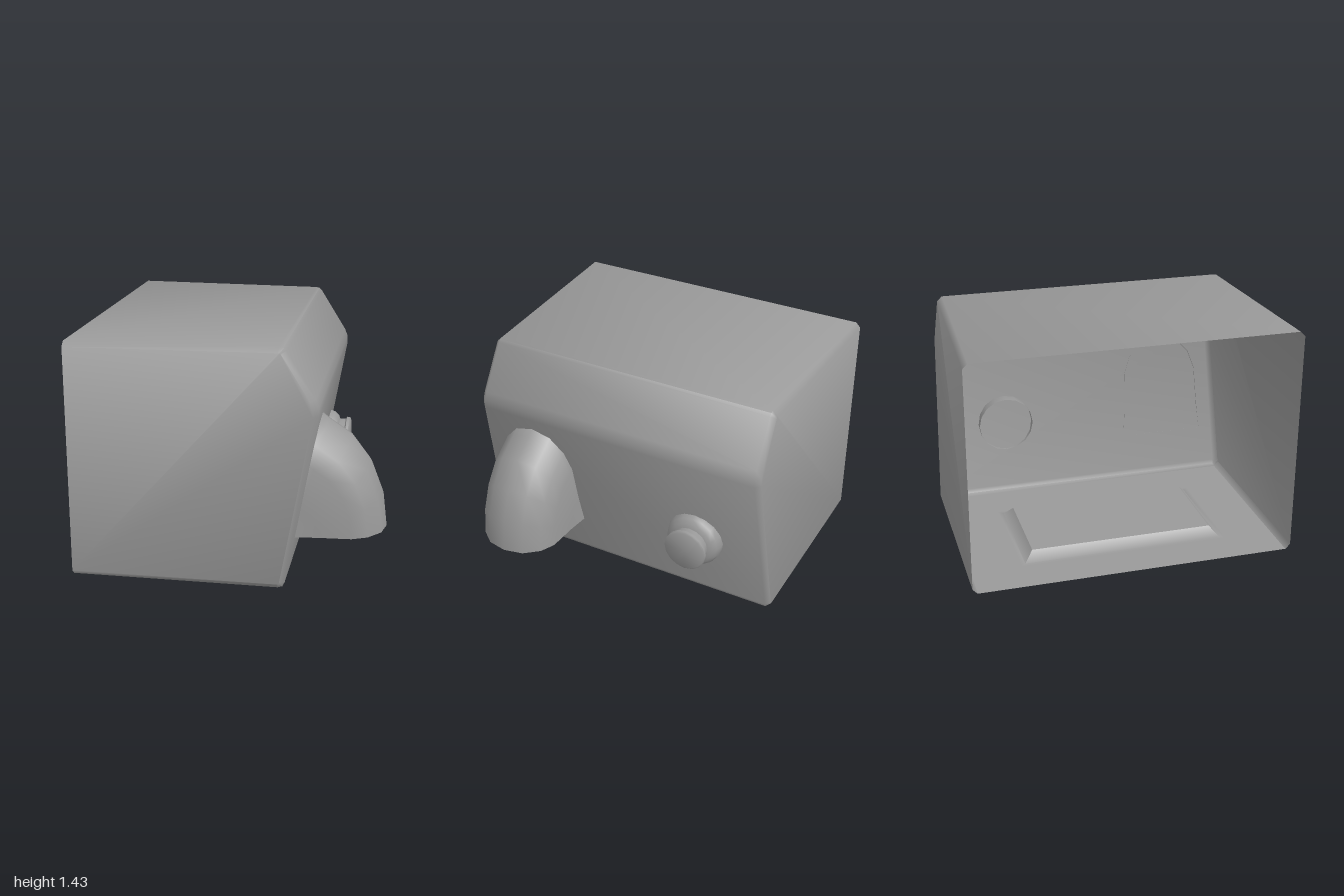
import * as THREE from 'three';
import { mergeGeometries, toCreasedNormals } from 'three/addons/utils/BufferGeometryUtils.js';

const material = new THREE.MeshStandardMaterial({ color: 0x999999, side: THREE.DoubleSide });
const BACK = -0.92, TOP = 1.43, BEVEL = 0.03;

// Half width of the housing: the sides lean in towards the upper front
const halfWidth = (x, y) => 1 - 0.05 * ((x - BACK) / 1.25) * (y / TOP);
// Sloping front wall below the brow
const wallX = (y) => 0.35 + 0.179 * y;

function add(parent, name, geometry, crease = 0.9) {
  const mesh = new THREE.Mesh(toCreasedNormals(geometry, crease), material);
  mesh.name = name;
  parent.add(mesh);
}

// Surface through rows of points; skip(i, j) leaves a quad open
function loft(rows, skip = () => false) {
  const n = rows[0].length, index = [];
  for (let i = 0; i < rows.length - 1; i++) {
    for (let j = 0; j < n - 1; j++) {
      if (skip(i, j)) continue;
      const a = i * n + j, b = a + n;
      index.push(a, b, b + 1, a, b + 1, a + 1);
    }
  }
  const g = new THREE.BufferGeometry();
  g.setAttribute('position', new THREE.Float32BufferAttribute(rows.flat(2), 3));
  g.setIndex(index);
  g.computeVertexNormals();
  return g;
}

// Polyline with each inner corner eased by a small curve
function roundCorners(corners, radii) {
  const out = [corners[0]];
  for (let i = 1; i < corners.length - 1; i++) {
    const c = corners[i];
    const toward = (p) => c.clone().add(p.clone().sub(c).setLength(radii[i - 1]));
    const curve = new THREE.QuadraticBezierCurve(toward(corners[i - 1]), c, toward(corners[i + 1]));
    out.push(...curve.getPoints(2));
  }
  out.push(corners[corners.length - 1]);
  return out;
}

function buildHousing() {
  const group = new THREE.Group();
  group.name = 'housing';
  const v = (x, y) => new THREE.Vector2(x, y);
  const profile = roundCorners(
    [v(BACK, 0), v(0.35, 0), v(0.546, 1.09), v(0.335, TOP), v(BACK, TOP)],
    [0.035, 0.055, 0.025]);

  // Inward normals, averaged at the bends
  const inward = profile.map((p, i) => {
    const t = v(0, 0);
    if (i > 0) t.add(p.clone().sub(profile[i - 1]).normalize());
    if (i < profile.length - 1) t.add(profile[i + 1].clone().sub(p).normalize());
    t.normalize();
    return v(-t.y, t.x);
  });
  const outline = profile.map((p, i) => p.clone().addScaledVector(inward[i], BEVEL));

  // Shell wrapped over floor edges, front, brow and roof, with chamfered sides
  const rows = profile.map((p, i) => {
    const q = outline[i];
    const zIn = halfWidth(p.x, p.y) - BEVEL, zOut = halfWidth(q.x, q.y);
    return [[q.x, q.y, -zOut], [p.x, p.y, -zIn], [p.x, p.y, zIn], [q.x, q.y, zOut]];
  });
  const shell = [loft(rows, (i, j) => i === 0 && j === 1)];

  // Side walls, shaded together with the chamfers
  for (const side of [1, -1]) {
    const g = new THREE.ShapeGeometry(new THREE.Shape(outline));
    const pos = g.attributes.position;
    for (let i = 0; i < pos.count; i++) pos.setZ(i, side * halfWidth(pos.getX(i), pos.getY(i)));
    if (side < 0) g.index.array.reverse();
    g.deleteAttribute('uv');
    shell.push(g);
  }
  add(group, 'shell', mergeGeometries(shell));

  // Floor with a soft-edged rim rising to a raised panel
  const ring = (x0, x1, z, y) =>
    [[x0, y, -z], [x1, y, -z], [x1, y, z], [x0, y, z], [x0, y, -z]];
  add(group, 'floor', loft([
    ring(-0.61, -0.04, 0.575, 0.06),
    ring(-0.66, 0.01, 0.63, 0),
    ring(-0.69, 0.04, 0.66, 0),
    ring(BACK, profile[1].x, 1 - BEVEL, 0),
  ]));
  const plate = new THREE.PlaneGeometry(0.57, 1.15).rotateX(Math.PI / 2);
  add(group, 'floorPanel', plate.translate(-0.325, 0.06, 0));
  return group;
}

function buildHood() {
  const group = new THREE.Group();
  group.name = 'outletHood';
  const X = 0.4, Y = 0.28, Z = 0.592, R = 0.195, HOLE_X = X + 0.31, DEPTH = 0.065;
  const half = [[0, 0.28], [0.13, 0.265], [0.33, 0.254], [0.42, 0.212], [0.495, 0.122]];
  const section = [...half.map(([r, z]) => [r, -z]), [0.52, 0], ...half.slice().reverse()];

  // Elbow: the section swings up until it meets the wall
  const rows = [];
  for (let i = 0; i <= 5; i++) {
    const a = (i / 5) * Math.PI / 2;
    rows.push(section.map(([r, z]) => {
      const y = Y + r * 1.32 * Math.sin(a);
      return [Math.max(X + r * Math.cos(a), wallX(y) - 0.005), y, Z + z];
    }));
  }
  add(group, 'hoodShell', loft(rows));

  // Underside with the round outlet
  const base = new THREE.Shape(section.map(([r, z]) => new THREE.Vector2(X + r, Z + z)));
  base.holes.push(new THREE.Path().absarc(HOLE_X, Z, R, 0, Math.PI * 2, true));
  add(group, 'hoodBase', new THREE.ShapeGeometry(base, 8).rotateX(Math.PI / 2).translate(0, Y, 0));
  const tube = new THREE.CylinderGeometry(R, R, DEPTH, 16, 1, true);
  add(group, 'outletWall', tube.translate(HOLE_X, Y + DEPTH / 2, Z));
  const cap = new THREE.CircleGeometry(R, 16).rotateX(Math.PI / 2);
  add(group, 'outletCap', cap.translate(HOLE_X, Y + DEPTH, Z));
  return group;
}

function buildKnob() {
  const group = new THREE.Group();
  group.name = 'knob';
  const turned = (name, pts) => {
    const g = new THREE.LatheGeometry(pts.map(([r, h]) => new THREE.Vector2(r, h)), 16);
    add(group, name, g.rotateZ(-Math.PI / 2).translate(0, 0.468, -0.52), 0.8);
  };
  // Domed collar on the wall, then the waisted button
  turned('collar', [[0.182, 0.39], [0.182, 0.46], [0.17, 0.495], [0.147, 0.52], [0.12, 0.53]]);
  turned('button', [[0.12, 0.52], [0.125, 0.57], [0.137, 0.578], [0.137, 0.595],
    [0.128, 0.602], [0, 0.602]]);
  return group;
}

export function createModel() {
  const model = new THREE.Group();
  model.name = 'ventHousing';
  model.add(buildHousing(), buildHood(), buildKnob());
  return model;
}
